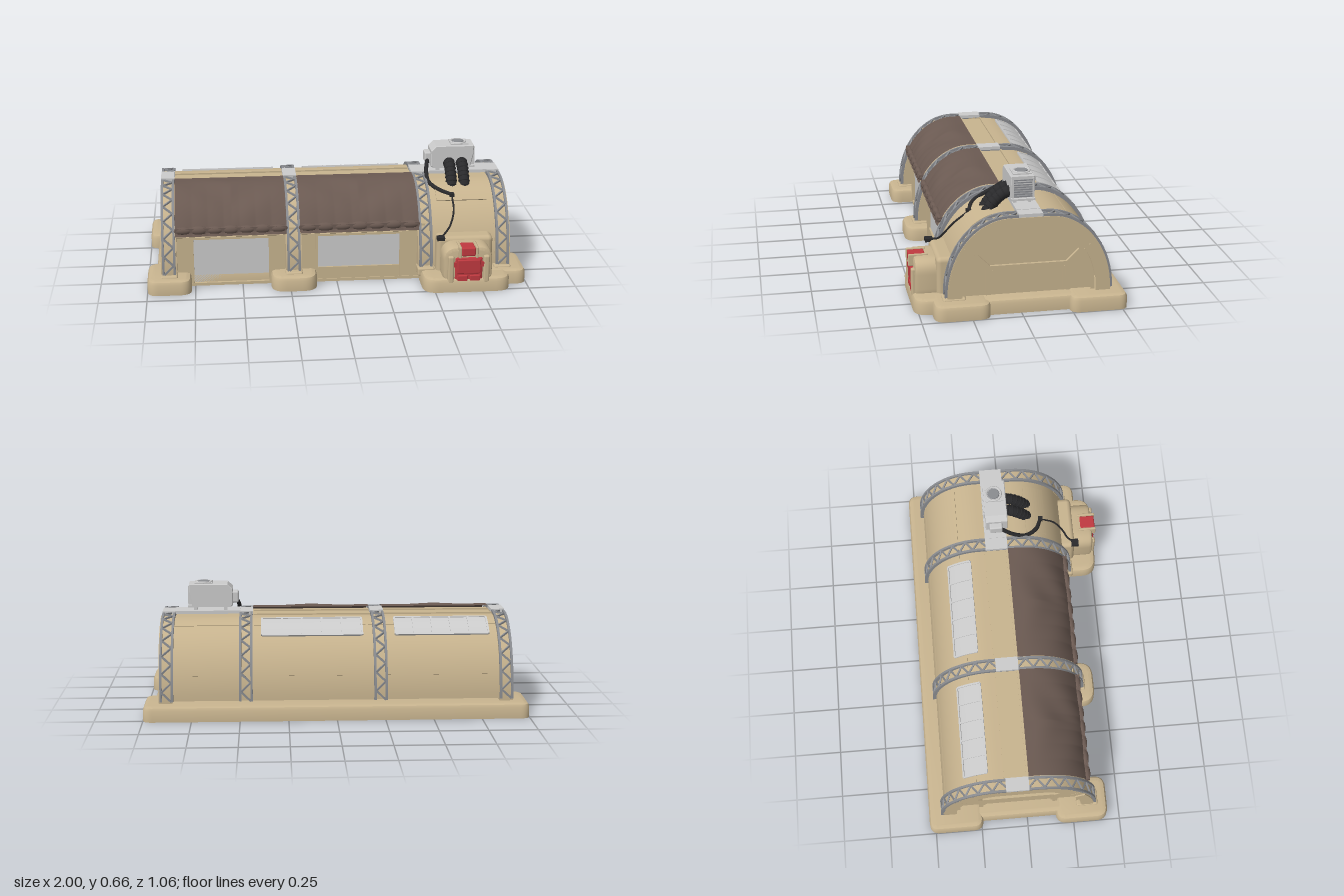
import * as THREE from 'three';
import { toCreasedNormals } from 'three/addons/utils/BufferGeometryUtils.js';
import { RoundedBoxGeometry } from 'three/addons/geometries/RoundedBoxGeometry.js';
import { ParametricGeometry } from 'three/addons/geometries/ParametricGeometry.js';

const mat = (color, side = THREE.FrontSide) => new THREE.MeshStandardMaterial({ color, side });
const TAN = mat(0xc8b48f), GREY = mat(0xcccccc), STEEL = mat(0x8a8c90), BLACK = mat(0x2a2a2c);
const RED = mat(0xc03a40), CLOTH = mat(0x6b5a52, THREE.DoubleSide);
const H = Math.PI / 2, FLAT = 0.5, END = Math.PI + FLAT, SKIN = -0.018;
const RIBS = [-0.885, -0.23, 0.47, 0.88];

// Vault cross-section: two quarter ellipses joined by a flat crown; a runs from front to back.
function arch(a, d) {
  const rx = 0.32 + d, y = 0.09, ry = 0.405 + d;
  if (a <= H) return [0.055 + rx * Math.cos(a), y + ry * Math.sin(a)];
  if (a < H + FLAT) return [0.055 - 0.2 * (a - H) / FLAT, y + ry];
  return [-0.145 + rx * Math.cos(a - FLAT), y + ry * Math.sin(a - FLAT)];
}
function arc(a0, a1, d, n = 40) {
  const list = Array.from({ length: n + 1 }, (_, i) => a0 + (a1 - a0) * i / n);
  [H, H + FLAT].forEach(a => { if (a > a0 && a < a1) list.push(a); });
  return list.sort((p, q) => p - q).map(a => arch(a, d));
}

export function createModel() {
  const root = new THREE.Group();
  const add = (name, geo, m, parent = root) => {
    const mesh = new THREE.Mesh(geo, m);
    mesh.name = name;
    parent.add(mesh);
    return mesh;
  };
  const group = name => { const g = new THREE.Group(); g.name = name; root.add(g); return g; };
  const box = (name, m, x0, x1, y0, y1, z0, z1, parent, r = 0) => {
    const s = [x1 - x0, y1 - y0, z1 - z0];
    const mesh = add(name, r ? new RoundedBoxGeometry(...s, 2, r) : new THREE.BoxGeometry(...s), m, parent);
    mesh.position.set((x0 + x1) / 2, (y0 + y1) / 2, (z0 + z1) / 2);
  };
  const bar = (name, m, p, q, w, parent) => {
    const a = new THREE.Vector3(...p), b = new THREE.Vector3(...q);
    const mesh = add(name, new THREE.BoxGeometry(w, w, a.distanceTo(b)), m, parent);
    mesh.position.copy(a).add(b).multiplyScalar(0.5);
    mesh.lookAt(b);
  };
  // Extrude a (z, y) outline along x.
  const path = (pts, T = THREE.Path) => new T(pts.map(([z, y]) => new THREE.Vector2(-z, y)));
  const extrudeX = (name, m, pts, x0, x1, hole, parent) => {
    const s = path(pts, THREE.Shape);
    if (hole) s.holes.push(path(hole));
    const g = new THREE.ExtrudeGeometry(s, { depth: x1 - x0, bevelEnabled: false });
    g.rotateY(H).translate(x0, 0, 0);
    add(name, toCreasedNormals(g, 0.5), m, parent);
  };
  const strip = (name, m, x0, x1, a0, a1, dIn, dOut, parent) =>
    extrudeX(name, m, [...arc(a0, a1, dOut), ...arc(a0, a1, dIn).reverse()], x0, x1, null, parent);
  const rounded = (pts, r) => {
    const s = new THREE.Shape(), n = pts.length;
    pts.forEach((p, i) => {
      const v = new THREE.Vector2(...p);
      const toward = q => v.clone().add(new THREE.Vector2(...q).sub(v).setLength(r));
      const a = toward(pts[(i + n - 1) % n]), b = toward(pts[(i + 1) % n]);
      i ? s.lineTo(a.x, a.y) : s.moveTo(a.x, a.y);
      s.quadraticCurveTo(v.x, v.y, b.x, b.y);
    });
    return s.closePath();
  };
  const rect = (x0, x1, y0, y1) => [[x0, y0], [x1, y0], [x1, y1], [x0, y1]];

  // Plinth and footings: chamfered on top, flat underneath
  const slab = (name, x0, x1, z0, z1, h, r) => {
    const s = rounded(rect(x0, x1, -z1, -z0), r), b = 0.02;
    const g = new THREE.ExtrudeGeometry(s, { depth: h - b, bevelSize: 0.026, bevelThickness: b, bevelOffset: -0.026, bevelSegments: 2, curveSegments: 8 });
    const p = g.attributes.position;
    for (let i = 0; i < p.count; i++) p.setZ(i, Math.max(0, p.getZ(i)));
    g.rotateX(-H);
    add(name, toCreasedNormals(g, 0.6), TAN);
  };
  slab('plinth', -0.952, 0.952, -0.5, 0.3, 0.075, 0.05);
  slab('rearPlinth', -1, 1, -0.53, -0.24, 0.078, 0.05);
  slab('leftFooting', 0.78, 1, 0.155, 0.435, 0.076, 0.06);
  slab('rightFooting', -1, -0.77, 0.155, 0.435, 0.076, 0.06);
  slab('middleFooting', -0.35, -0.11, 0.2, 0.435, 0.076, 0.08);
  slab('porchFooting', 0.44, 0.9, 0.25, 0.522, 0.074, 0.08);
  box('floor', TAN, -0.9, 0.9, 0, 0.015, -0.4, 0.315);

  // Vault skin: cut away over the doors, full depth elsewhere
  strip('vault', TAN, -0.9, 0.47, 0.5, END, -0.05, SKIN);
  strip('endVault', TAN, 0.47, 0.9, 0, END, -0.05, SKIN);
  RIBS.forEach(x => {
    strip('pier', TAN, x - 0.042, x + 0.042, 0, 0.6, -0.08, SKIN + 0.001);
    box('pierFoot', TAN, x - 0.045, x + 0.045, 0.04, 0.085, 0.27, 0.385, root, 0.01);
  });
  [2.45, 3.3].forEach(a => strip('backSeam', TAN, -0.85, 0.85, a, a + 0.01, SKIN, SKIN + 0.003));
  [H + 0.12, H + 0.41].forEach(a => strip('crownSeam', TAN, -0.85, 0.43, a, a + 0.02, SKIN, SKIN + 0.008));
  strip('roofPanel', TAN, 0.54, 0.81, 0.95, 1.35, SKIN, SKIN + 0.006);

  // Truss ribs
  RIBS.forEach(x => {
    const g = group('trussRib');
    [-0.035, 0.023].forEach(o => strip('rail', STEEL, x + o, x + o + 0.012, 0, END, SKIN, 0, g));
    const n = 30, pt = (i, side) => {
      const [z, y] = arch(END * i / n, -0.005);
      return [x + side * 0.025, y, z];
    };
    for (let i = 0; i < n; i++) bar('brace', STEEL, pt(i, i % 2 ? 1 : -1), pt(i + 1, i % 2 ? -1 : 1), 0.009, g);
    box('crownPlate', GREY, x - 0.036, x + 0.036, 0.483, 0.5, -0.11, 0.01, g);
  });

  // End walls with deep recessed panels and raised mouldings
  for (const s of [-1, 1]) {
    const g = group(s > 0 ? 'leftEndWall' : 'rightEndWall');
    const outer = [...arc(0, END, -0.012), [-0.453, 0.05], [0.363, 0.05]];
    const inner = [...arc(0, END, -0.085), [-0.38, 0.07], [0.29, 0.07]];
    const X = (a, b) => s > 0 ? [a, b] : [-b, -a];
    extrudeX('ring', TAN, outer, ...X(0.85, 0.92), inner, g);
    extrudeX('panel', TAN, inner, ...X(0.85, 0.876), null, g);
    // faceted lining that follows the opening
    const facets = [[0.268, 0.08], [0.268, 0.2], [0.2, 0.305], [0.065, 0.388], [-0.155, 0.388], [-0.29, 0.305], [-0.358, 0.2], [-0.358, 0.08]];
    extrudeX('lining', TAN, inner, ...X(0.85, 0.898), [...facets, [-0.358, 0.072], [0.268, 0.072]], g);
    const m = (z1, y1, z2, y2, w) => bar('moulding', TAN, [s * 0.88, y1, z1], [s * 0.88, y2, z2], w, g);
    m(0.165, 0.22, -0.255, 0.22, 0.024);
    m(0.135, 0.205, -0.225, 0.205, 0.012);
    for (const k of [-1, 1]) {
      const z = o => -0.045 + k * o;
      m(z(0.2), 0.08, z(0.2), 0.22, 0.024);
      m(z(0.2), 0.22, z(0.265), 0.285, 0.03);
      m(z(0.182), 0.09, z(0.182), 0.205, 0.012);
      bar('ringSeam', TAN, [s * 0.917, 0.3, z(0.275)], [s * 0.917, 0.342, z(0.322)], 0.008, g);
    }
  }

  // Front wall, door openings and shutters
  const wall = new THREE.Shape(rect(-0.88, 0.47, 0, 0.31).map(p => new THREE.Vector2(...p)));
  const doors = [[-0.755, -0.36, 0.012], [-0.1, 0.335, 0.08]];
  doors.forEach(([x0, x1, y0]) => {
    wall.holes.push(new THREE.Path(rect(x0, x1, y0, 0.26).map(p => new THREE.Vector2(...p))));
    box('shutter', GREY, x0 - 0.01, x1 + 0.01, y0 - 0.01, 0.27, 0.285, 0.3);
    [x0 - 0.012, x1].forEach(x => box('doorJamb', TAN, x, x + 0.012, 0.01, 0.272, 0.29, 0.318));
    box('doorLintel', TAN, x0 - 0.012, x1 + 0.012, 0.26, 0.272, 0.29, 0.318);
  });
  add('frontWall', new THREE.ExtrudeGeometry(wall, { depth: 0.03, bevelEnabled: false }), TAN).position.z = 0.28;

  // Cloth awnings with broad diagonal folds and a gathered hem
  [[-0.848, -0.266], [-0.195, 0.434]].forEach(([x0, x1]) => {
    const g = group('awning'), top = H + 0.11;
    add('cloth', new ParametricGeometry((u, v, t) => {
      const sag = Math.sin(Math.PI * u) * Math.sin(Math.PI * v), k = Math.abs(u - 0.5);
      const d = 0.003 + sag * 0.007 * Math.sin(8 * v + 9 * k) + 0.004 * v * v * Math.abs(Math.sin(u * 7 * Math.PI));
      const [z, y] = arch(top + (0.5 - top) * v, d);
      t.set(x0 + (x1 - x0) * u, y, z);
    }, 56, 28), CLOTH, g);
    const n = 7, w = (x1 - x0) / n;
    for (let i = 0; i < n; i++) {
      const lump = add('hemGather', new THREE.SphereGeometry(1, 16, 10), CLOTH, g);
      lump.scale.set(w * 0.58, 0.021 + 0.003 * (i % 2), 0.02);
      lump.position.set(x0 + w * (i + 0.5), 0.316, 0.324);
    }
    bar('hemRoll', CLOTH, [x0, 0.318, 0.324], [x1, 0.318, 0.324], 0.026, g);
  });

  // Rear skylights
  [[-0.805, -0.315], [-0.14, 0.385]].forEach(([x0, x1]) => {
    const g = group('rearWindow'), a0 = 1.754 + FLAT, a1 = 2.188 + FLAT, w = (x1 - x0) / 5;
    strip('glazing', GREY, x0, x1, a0, a1, SKIN, SKIN + 0.004, g);
    for (let i = 0; i <= 5; i++) strip('mullion', GREY, x0 + w * i - 0.005, x0 + w * i + 0.005, a0, a1, SKIN, SKIN + 0.009, g);
    [a0, a1].forEach(a => strip('windowRail', GREY, x0, x1, a - 0.015, a + 0.015, SKIN, SKIN + 0.009, g));
  });

  // Porch with red hatch and lamp set between cheeks
  const porch = group('porch');
  const hood = rounded(rect(0.54, 0.8, 0.02, 0.245), 0.075);
  const hoodGeo = new THREE.ExtrudeGeometry(hood, { depth: 0.175, bevelSize: 0.02, bevelThickness: 0.02, bevelOffset: -0.02, bevelSegments: 2 });
  add('hood', toCreasedNormals(hoodGeo, 0.6), TAN, porch).position.z = 0.31;
  box('hoodBack', TAN, 0.52, 0.82, 0.05, 0.262, 0.26, 0.4, porch, 0.025);
  [0.563, 0.75].forEach(x => box('hatchPost', TAN, x, x + 0.032, 0.05, 0.2, 0.45, 0.522, porch, 0.01));
  box('hatch', RED, 0.6, 0.747, 0.02, 0.19, 0.48, 0.512, porch, 0.012);
  box('hatchPanel', RED, 0.612, 0.735, 0.1, 0.178, 0.5, 0.518, porch, 0.006);
  [0.612, 0.678].forEach(x => box('hatchPanel', RED, x, x + 0.057, 0.032, 0.092, 0.5, 0.518, porch, 0.006));
  [0.594, 0.738].forEach(x => box('hatchHinge', RED, x, x + 0.015, 0.14, 0.165, 0.49, 0.518, porch));
  box('lamp', RED, 0.632, 0.706, 0.2, 0.248, 0.44, 0.524, porch, 0.008);
  [0.618, 0.706].forEach(x => box('lampCheek', TAN, x, x + 0.014, 0.19, 0.252, 0.43, 0.528, porch, 0.005));
  box('junctionBox', BLACK, 0.52, 0.56, 0.25, 0.268, 0.38, 0.42, porch);

  // Roof air conditioner
  const ac = group('airConditioner');
  box('basePlate', GREY, 0.5, 0.85, 0.485, 0.502, -0.11, 0.01, ac);
  [0.57, 0.73].forEach(x => [-0.085, -0.01].forEach(z => box('mount', GREY, x, x + 0.02, 0.5, 0.525, z, z + 0.014, ac)));
  box('drainTray', GREY, 0.55, 0.78, 0.52, 0.53, -0.1, 0.02, ac);
  const body = new THREE.Shape([[0.545, 0.53], [0.755, 0.53], [0.77, 0.6], [0.77, 0.64], [0.57, 0.64], [0.545, 0.615]].map(p => new THREE.Vector2(...p)));
  add('casing', new THREE.ExtrudeGeometry(body, { depth: 0.112, bevelSize: 0.004, bevelThickness: 0.004, bevelSegments: 1 }), GREY, ac).position.z = -0.096;
  box('nose', GREY, 0.51, 0.55, 0.54, 0.6, -0.08, -0.01, ac, 0.008);
  box('topCap', GREY, 0.65, 0.745, 0.64, 0.65, -0.09, 0.005, ac);
  add('fanRing', new THREE.TorusGeometry(0.04, 0.006, 8, 24).rotateX(H), GREY, ac).position.set(0.695, 0.65, -0.045);
  add('fanHub', new THREE.CylinderGeometry(0.03, 0.034, 0.012, 20), STEEL, ac).position.set(0.695, 0.65, -0.045);
  box('sideBox', GREY, 0.6, 0.73, 0.55, 0.6, -0.107, -0.095, ac);
  [-0.094, 0.008].forEach(z => box('grilleFrame', GREY, 0.755, 0.779, 0.535, 0.635, z, z + 0.008, ac));
  for (let i = 0; i < 8; i++) {
    const y = 0.538 + i * 0.012;
    box('louvre', STEEL, 0.755, 0.777, y, y + 0.006, -0.086, 0.008, ac);
  }

  // Broad ducts and trailing cable
  const curve = pts => new THREE.CatmullRomCurve3(pts.map(p => new THREE.Vector3(...p)));
  [0.638, 0.707].forEach(x => {
    const g = group('duct');
    const c = curve([[x, 0.555, 0.0], [x, 0.54, 0.05], [x, 0.495, 0.1], [x, 0.435, 0.14]]);
    add('hose', new THREE.TubeGeometry(c, 20, 0.029, 16), BLACK, g);
    for (let i = 0; i <= 8; i++) {
      const ring = add('hoseRing', new THREE.TorusGeometry(0.028, 0.004, 6, 18), BLACK, g), t = i / 8;
      ring.position.copy(c.getPointAt(t));
      ring.lookAt(ring.position.clone().add(c.getTangentAt(t)));
    }
  });
  const line = [[0.525, 0.56, -0.02], [0.51, 0.51, 0.05], [0.515, 0.475, 0.12], [0.56, 0.452, 0.18], [0.625, 0.43, 0.205]];
  add('thickCable', new THREE.TubeGeometry(curve(line), 32, 0.011, 8), BLACK);
  add('thinCable', new THREE.TubeGeometry(curve([line[4], [0.625, 0.37, 0.285], [0.6, 0.305, 0.335], [0.57, 0.272, 0.36], [0.54, 0.262, 0.4]]), 32, 0.005, 6), BLACK);
  box('cableSocket', BLACK, 0.612, 0.638, 0.41, 0.44, 0.19, 0.22);
  return root;
}
